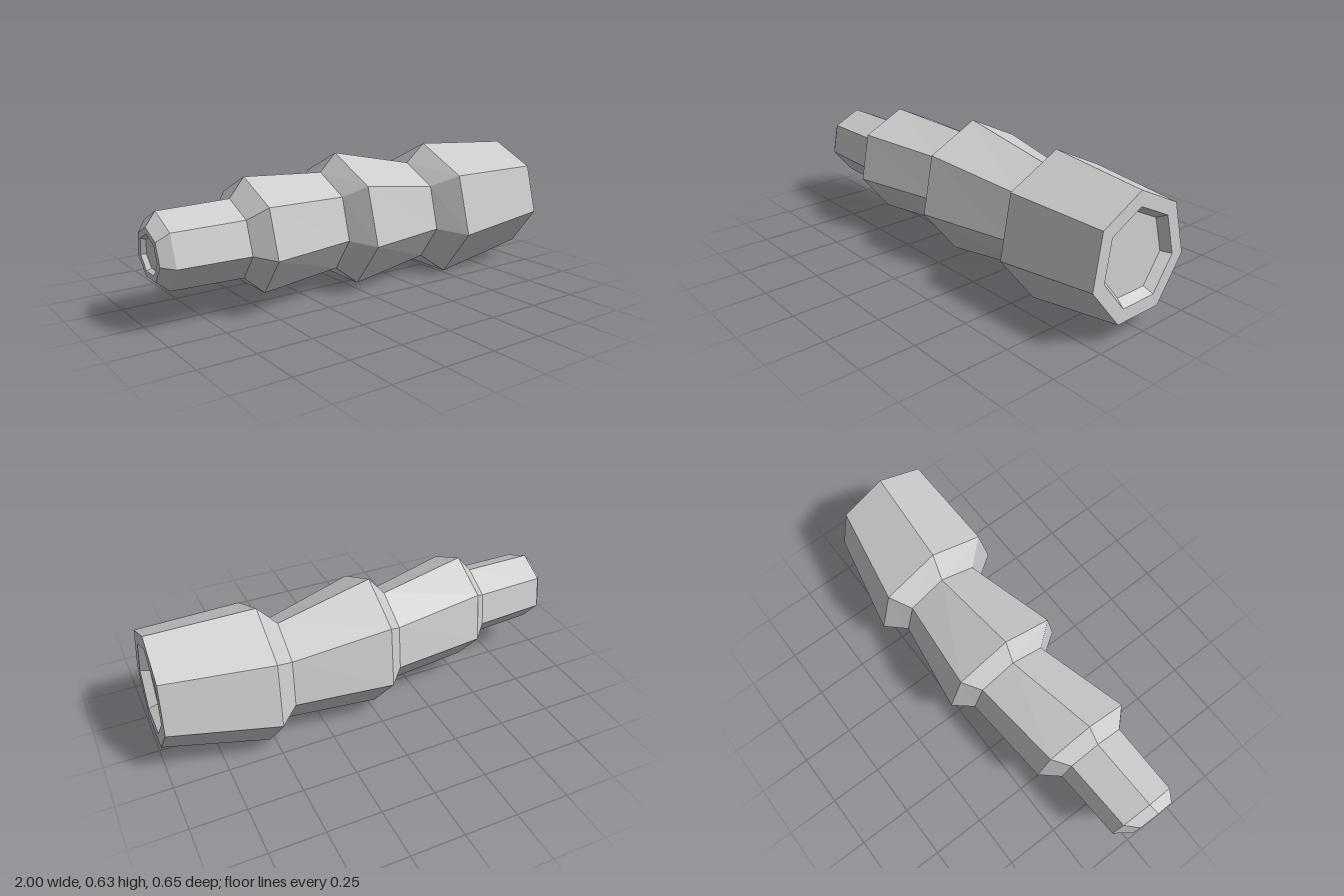
import * as THREE from 'three';

const SIDES = 7;
const TILT = 0.05; // every ring leans slightly back at the top

// One seven-sided ring with a corner at the top: centre x, y, z and radius (radius across z may differ)
function ring([x, y, z, r, rz = r]) {
  return Array.from({ length: SIDES }, (_, i) => {
    const a = (i / SIDES) * Math.PI * 2;
    const dy = r * Math.cos(a);
    return [x - TILT * dy, y + dy, z + rz * Math.sin(a)];
  });
}

// Skin a row of rings; a ring of radius 0 closes the surface to a point
function loft(name, specs, material) {
  const pos = [];
  for (let k = 0; k < specs.length - 1; k++) {
    const a = ring(specs[k]), b = ring(specs[k + 1]);
    for (let i = 0; i < SIDES; i++) {
      const j = (i + 1) % SIDES;
      if (specs[k][3] > 0) pos.push(...a[i], ...a[j], ...b[j]);
      if (specs[k + 1][3] > 0) pos.push(...a[i], ...b[j], ...b[i]);
    }
  }
  const geometry = new THREE.BufferGeometry();
  geometry.setAttribute('position', new THREE.Float32BufferAttribute(pos, 3));
  geometry.computeVertexNormals();
  const mesh = new THREE.Mesh(geometry, material);
  mesh.name = name;
  return mesh;
}

export function createModel() {
  const group = new THREE.Group();
  group.name = 'segmentedStalk';
  const material = new THREE.MeshStandardMaterial({ color: 0xcccccc, flatShading: true });

  // Outline from the thin tip to the thick base: x, y, z, radius
  const rings = [
    [-0.995, 0.332, 0.085, 0.113],
    [-0.942, 0.334, 0.068, 0.166],
    [-0.611, 0.331, 0.06, 0.174],
    [-0.537, 0.334, 0.06, 0.256],
    [-0.104, 0.319, -0.012, 0.231, 0.213],
    [-0.029, 0.322, 0.003, 0.313],
    [0.417, 0.298, -0.02, 0.242, 0.222],
    [0.507, 0.3, 0, 0.331],
    [0.987, 0.334, 0.039, 0.271],
  ];
  const tip = rings[0], base = rings[8];

  // Four flared segments, each with its own shoulder
  const names = ['tipSegment', 'upperSegment', 'middleSegment', 'baseSegment'];
  names.forEach((name, i) => {
    group.add(loft(name, rings.slice(i * 2, i === 3 ? 9 : i * 2 + 3), material));
  });

  // Sunken ends: flat rim, sloped wall and floor
  const recess = ([x, y, z, r], depth) => [
    [x, y, z, r],
    [x, y, z, r * 0.76],
    [x + depth, y, z, r * 0.66],
    [x + depth, y, z, 0],
  ];
  group.add(loft('baseRecess', recess(base, -0.04), material));
  group.add(loft('tipRecess', recess(tip, 0.02).reverse(), material));

  return group;
}
